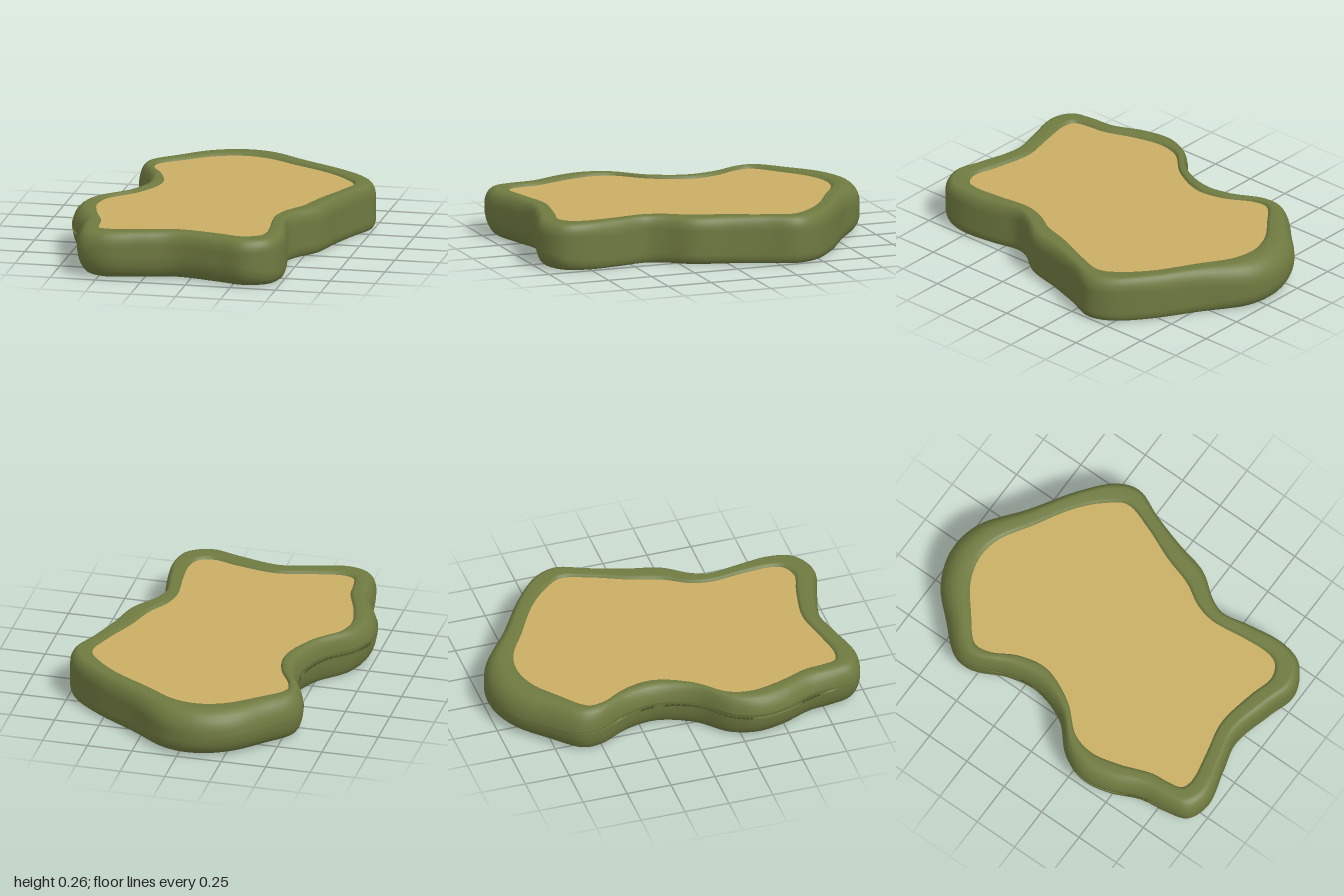
import * as THREE from 'three';

// Matching outer and inner outlines as x, z pairs, from the back round by the left
const OUTER = [
  -.11, -1, .08, -.97, .32, -.79, .56, -.63, .72, -.48, .757, -.36, .69, -.19, .63, 0,
  .58, .19, .48, .33, .445, .42, .475, .58, .495, .79, .455, .92, .32, .99, .16, .95,
  -.085, .895, -.26, .935, -.47, .985, -.6, .94, -.64, .82, -.665, .66, -.735, .5, -.757, .34,
  -.7, .195, -.55, .04, -.485, -.16, -.51, -.34, -.59, -.53, -.58, -.635, -.445, -.79, -.295, -.935,
];
const INNER = [
  -.075, -.83, .06, -.81, .24, -.705, .45, -.58, .57, -.47, .64, -.36, .595, -.19, .515, 0,
  .46, .17, .39, .295, .365, .41, .385, .61, .39, .755, .365, .825, .285, .86, .14, .825,
  -.085, .79, -.26, .825, -.45, .857, -.51, .835, -.53, .76, -.54, .66, -.605, .475, -.635, .32,
  -.605, .195, -.47, .04, -.385, -.16, -.41, -.32, -.49, -.475, -.495, -.56, -.365, -.68, -.215, -.79,
];
const COUNT = 224, HEIGHT = .26, TOP = .243, BOTTOM = .012, STEPS = 7;

function smoothLoop(flat) {
  const points = [];
  for (let i = 0; i < flat.length; i += 2) points.push(new THREE.Vector3(flat[i], 0, flat[i + 1]));
  const curve = new THREE.CatmullRomCurve3(points, true);
  return Array.from({ length: COUNT }, (_, i) => curve.getPoint(i / COUNT));
}

// Cross-section as [inset share, y], from the bottom face round to the top face
function section(nx, nz) {
  const low = .5 - .25 * nx + .07 * nz, high = .5 - .12 * nx - .1 * nz;
  const rows = [[1, BOTTOM], [.95, .003], [.88, 0]];
  for (let k = 0; k <= STEPS; k++) {
    const a = k / STEPS * Math.PI / 2;
    rows.push([low * (1 - Math.sin(a)), .22 * low * (1 - Math.cos(a))]);
  }
  for (let k = 0; k <= STEPS; k++) {
    const a = k / STEPS * Math.PI / 2;
    rows.push([high * (1 - Math.cos(a)), HEIGHT - .2 * high * (1 - Math.sin(a))]);
  }
  rows.push([.84, HEIGHT - .001], [.93, HEIGHT - .006], [1, TOP]);
  return rows;
}

// Rounded border swept round the outline
function rimGeometry(outer, inner) {
  const position = [], index = [];
  let rows = 0;
  for (let i = 0; i < COUNT; i++) {
    const n = outer[i].clone().sub(inner[i]).normalize();
    const profile = section(n.x, n.z);
    rows = profile.length;
    for (const [t, y] of profile) {
      const p = outer[i].clone().lerp(inner[i], t);
      position.push(p.x, y, p.z);
    }
  }
  for (let i = 0; i < COUNT; i++) {
    for (let j = 0; j < rows - 1; j++) {
      const a = i * rows + j, b = ((i + 1) % COUNT) * rows + j;
      index.push(a, a + 1, b, b, a + 1, b + 1);
    }
  }
  const geometry = new THREE.BufferGeometry();
  geometry.setAttribute('position', new THREE.Float32BufferAttribute(position, 3));
  geometry.setIndex(index);
  geometry.computeVertexNormals();
  return geometry;
}

// Flat face filling the inner outline, facing up (1) or down (-1)
function faceGeometry(inner, facing, y) {
  const shape = new THREE.Shape(inner.map(p => new THREE.Vector2(p.x, -facing * p.z)));
  return new THREE.ShapeGeometry(shape).rotateX(-facing * Math.PI / 2).translate(0, y, 0);
}

export function createModel() {
  const green = new THREE.MeshStandardMaterial({ color: 0x6f7a40 });
  green.name = 'mossGreen';
  const sand = new THREE.MeshStandardMaterial({ color: 0xc9ae64 });
  sand.name = 'sand';
  const outer = smoothLoop(OUTER), inner = smoothLoop(INNER);

  const group = new THREE.Group();
  group.name = 'slab';
  const add = (name, geometry, material) => {
    const mesh = new THREE.Mesh(geometry, material);
    mesh.name = name;
    group.add(mesh);
  };
  add('rim', rimGeometry(outer, inner), green);
  add('topFace', faceGeometry(inner, 1, TOP), sand);
  add('bottomFace', faceGeometry(inner, -1, BOTTOM), sand);
  return group;
}
